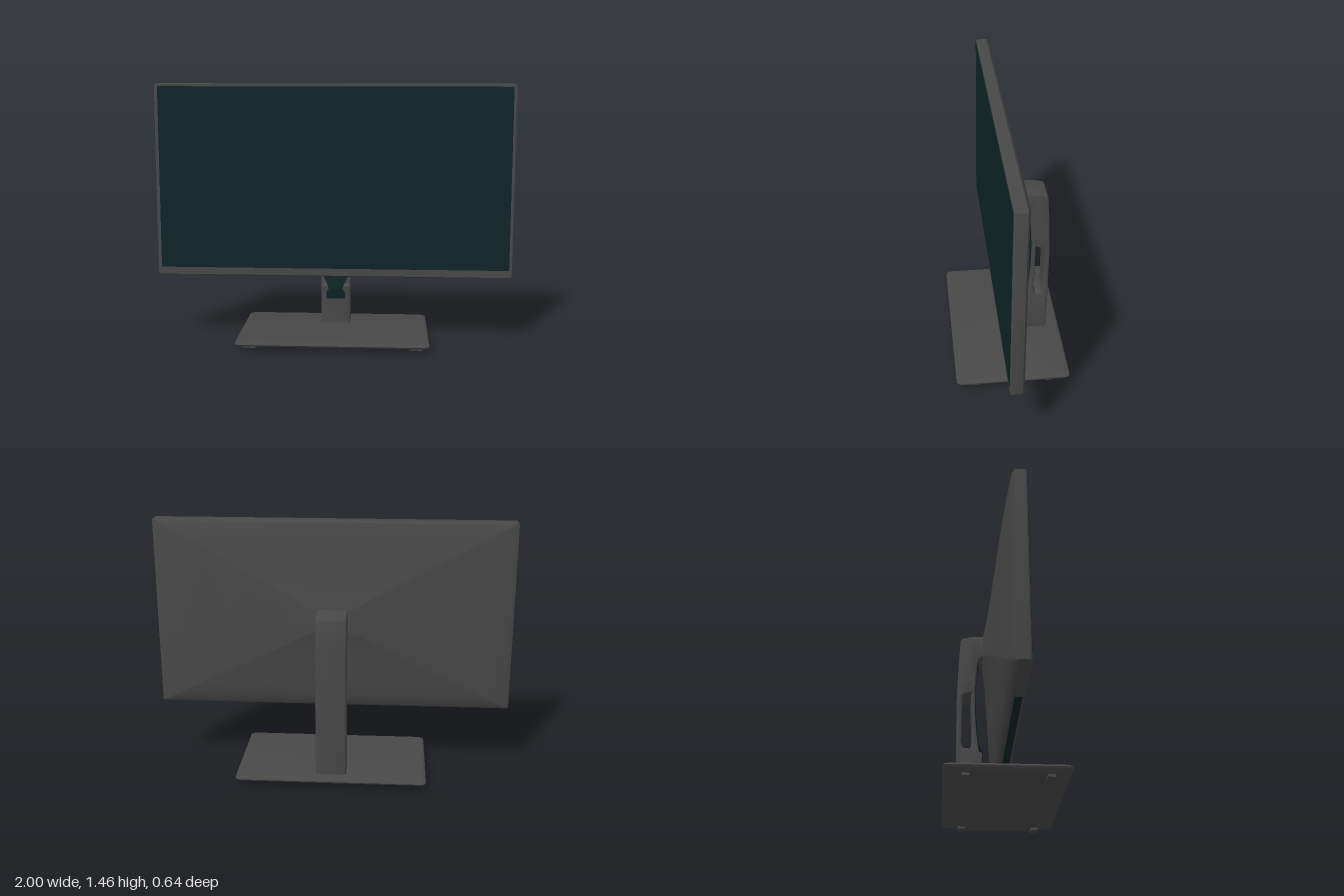
import * as THREE from 'three';
import { toCreasedNormals } from 'three/addons/utils/BufferGeometryUtils.js';

const grey = new THREE.MeshStandardMaterial({ name: 'charcoal plastic', color: 0x484848 });
const teal = new THREE.MeshStandardMaterial({ name: 'dark teal glass', color: 0x0e2426 });
teal.side = THREE.DoubleSide;

// Rounded rectangle outline, counter-clockwise seen from +z
function ring(x0, x1, y0, y1, z, r, seg = 3) {
  const corners = [[x0 + r, y0 + r, 2], [x1 - r, y0 + r, 3], [x1 - r, y1 - r, 0], [x0 + r, y1 - r, 1]];
  const pts = [];
  for (const [cx, cy, q] of corners)
    for (let i = 0; i <= seg; i++) {
      const a = (q + i / seg) * Math.PI / 2;
      pts.push([cx + r * Math.cos(a), cy + r * Math.sin(a), z]);
    }
  return pts;
}

// Closed solid through matching rings, ordered from +z to -z
function loft(rings, crease = 0.45) {
  const n = rings[0].length, last = (rings.length - 1) * n, index = [];
  for (let k = 0; k < rings.length - 1; k++)
    for (let i = 0; i < n; i++) {
      const a = k * n + i, a2 = k * n + (i + 1) % n;
      index.push(a, a + n, a2 + n, a, a2 + n, a2);
    }
  for (let i = 1; i < n - 1; i++) {
    index.push(0, i, i + 1, last, last + i + 1, last + i);
  }
  const g = new THREE.BufferGeometry();
  g.setAttribute('position', new THREE.Float32BufferAttribute(rings.flat(2), 3));
  g.setIndex(index);
  return toCreasedNormals(g, crease);
}

// Lean the display back slightly
function lean(g) {
  const p = g.attributes.position;
  for (let i = 0; i < p.count; i++) p.setZ(i, p.getZ(i) + (0.915 - p.getY(i)) * 0.013);
  g.computeVertexNormals();
  return toCreasedNormals(g, 0.45);
}

function add(parent, name, geometry, material) {
  const m = new THREE.Mesh(geometry, material);
  m.name = name;
  parent.add(m);
  return m;
}

export function createModel() {
  const model = new THREE.Group();
  model.name = 'monitor';

  // Display housing: slim slab with a back that swells toward the mount
  const display = new THREE.Group();
  display.name = 'display';
  model.add(display);
  const profile = [[0.006, 0.0625], [0, 0.056], [0, -0.001], [0.025, -0.012], [0.15, -0.03],
    [0.33, -0.051], [0.55, -0.07], [0.83, -0.096], [0.95, -0.111], [1, -0.12]];
  const rings = profile.map(([t, z]) =>
    ring(-1 + 0.9 * t, 1 - 0.9 * t, 0.378 + 0.472 * t, 1.455 - 0.475 * t, z, 0.012));
  add(display, 'housing', lean(loft(rings)), grey);

  // Screen glass and the dark strip under the lower edge
  const screen = new THREE.BoxGeometry(1.96, 1.018, 0.004).translate(0, 0.931, 0.0635);
  add(display, 'screen', lean(screen), teal);
  const strip = new THREE.BoxGeometry(1.2, 0.004, 0.04).translate(0, 0.377, 0.03);
  add(display, 'lowerStrip', lean(strip), teal);

  // Stand column: side profile with a cable slot, extruded across x
  const stand = new THREE.Group();
  stand.name = 'stand';
  model.add(stand);
  const toVec = ([z, y]) => new THREE.Vector2(-z, y);
  const front = [[-0.154, 0.79], [-0.159, 0.74], [-0.163, 0.62], [-0.16, 0.5], [-0.15, 0.38],
    [-0.137, 0.285], [-0.116, 0.272], [-0.123, 0.2], [-0.111, 0.045]];
  const outline = [[-0.1, 0.85], [-0.125, 0.85], [-0.145, 0.83], ...front,
    [-0.25, 0.045], [-0.258, 0.3], [-0.262, 0.6], [-0.256, 0.8], [-0.247, 0.95],
    [-0.238, 0.964], [-0.19, 0.976], [-0.12, 0.98], [-0.1, 0.985]];
  const slot = [[-0.182, 0.63], [-0.225, 0.615], [-0.233, 0.6], [-0.233, 0.33], [-0.222, 0.302],
    [-0.185, 0.3], [-0.173, 0.33], [-0.178, 0.45]];
  const shape = new THREE.Shape(outline.map(toVec));
  shape.holes.push(new THREE.Path(slot.map(toVec)));
  const bevel = 0.01;
  const column = new THREE.ExtrudeGeometry(shape, {
    depth: 0.17 - 2 * bevel, bevelThickness: bevel, bevelSize: bevel, bevelOffset: -bevel, bevelSegments: 2,
  });
  column.translate(0, 0, -0.085 + bevel).rotateY(Math.PI / 2);
  add(stand, 'column', toCreasedNormals(column, 0.6), grey);

  // Dark cover on the front of the column: rows of [half width, y, z]
  const rows = [[0.074, 0.83, -0.141], [0.074, 0.79, -0.149], [0.074, 0.74, -0.154], [0.074, 0.62, -0.157],
    [0.074, 0.5, -0.154], [0.074, 0.38, -0.144], [0.072, 0.33, -0.138], [0.045, 0.275, -0.112],
    [0.04, 0.26, -0.112], [0.054, 0.24, -0.114], [0.054, 0.2, -0.119]];
  const cover = new THREE.PlaneGeometry(1, 1, 1, rows.length - 1);
  rows.forEach(([w, y, z], i) => {
    cover.attributes.position.setXYZ(2 * i, -w, y, z);
    cover.attributes.position.setXYZ(2 * i + 1, w, y, z);
  });
  cover.computeVertexNormals();
  add(stand, 'frontCover', cover, teal);

  // Base plate with an undercut rim, rows of [x inset, z inset, y]
  const plate = [[0.012, 0.012, 0.055], [0.003, 0.003, 0.05], [0, 0, 0.043], [0.004, 0.006, 0.034], [0.025, 0.1, 0.014]];
  const base = loft(plate.map(([ix, iz, y]) =>
    ring(-0.535 + ix, 0.535 - ix, -0.313 + iz, 0.327 - iz, y, 0.03, 5)), 0.5);
  add(stand, 'basePlate', base.rotateX(-Math.PI / 2), grey);

  // Feet
  for (const x of [-0.465, 0.465])
    for (const z of [-0.215, 0.205]) {
      const foot = add(stand, 'foot', new THREE.BoxGeometry(0.07, 0.024, 0.04), grey);
      foot.position.set(x, 0.012, z);
    }
  return model;
}
